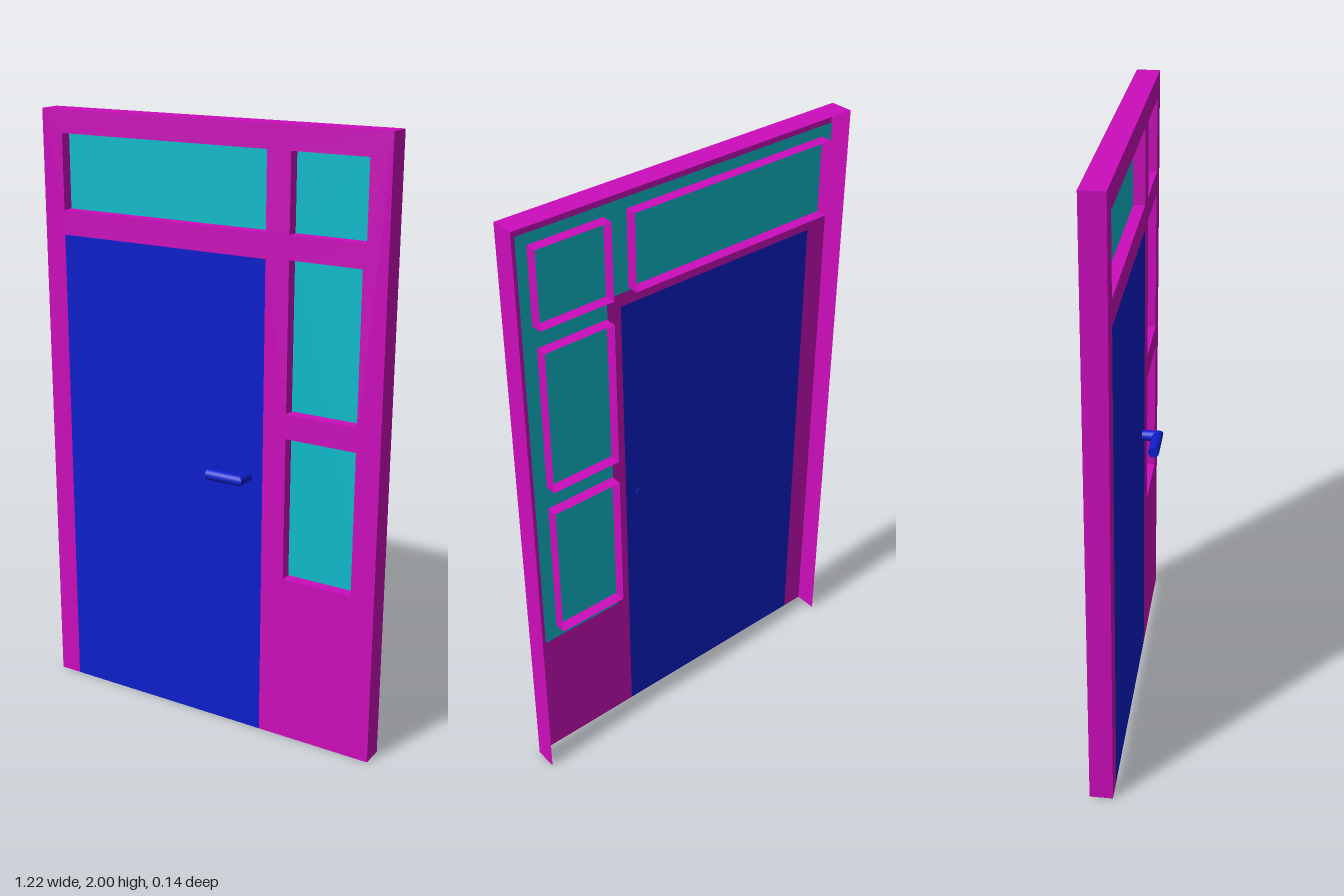
import * as THREE from 'three';

const paint = (color) => new THREE.MeshStandardMaterial({ color, side: THREE.DoubleSide });
const frameMat = paint(0xcc0dbb);
const doorMat = paint(0x0d1fcc);
const glassMat = paint(0x0dbccc);

const DEPTH = 0.075, W = 0.61, H = 2;
const DOOR = { x0: -0.535, x1: 0.21, y1: 1.6 };
// window openings: left, right, bottom, top
const WINDOWS = [
  [-0.535, 0.21, 1.68, 1.925],
  [0.29, 0.54, 1.68, 1.925],
  [0.29, 0.53, 1.125, 1.605],
  [0.29, 0.53, 0.57, 1.045],
];

const corners = ([x0, x1, y0, y1]) => [[x0, y0], [x1, y0], [x1, y1], [x0, y1]];
const toVectors = (pts) => pts.map(([x, y]) => new THREE.Vector2(x, y));

function add(parent, name, geometry, material) {
  const mesh = new THREE.Mesh(geometry, material);
  mesh.name = name;
  parent.add(mesh);
  return mesh;
}

// strip of flat panels running from z = 0 back to z = -depth along a polyline
function strip(pts, depth) {
  const pos = [];
  for (let i = 0; i < pts.length - 1; i++) {
    const [ax, ay] = pts[i], [bx, by] = pts[i + 1];
    pos.push(ax, ay, 0, bx, by, -depth, bx, by, 0);
    pos.push(ax, ay, 0, ax, ay, -depth, bx, by, -depth);
  }
  const g = new THREE.BufferGeometry();
  g.setAttribute('position', new THREE.Float32BufferAttribute(pos, 3));
  g.computeVertexNormals();
  return g;
}

// round bar along +y whose far end is cut at 45 degrees towards local +x
function mitredBar(radius, length) {
  const g = new THREE.CylinderGeometry(radius, radius, length, 24);
  g.translate(0, length / 2, 0);
  const p = g.attributes.position;
  for (let i = 0; i < p.count; i++) {
    if (p.getY(i) > length / 2) p.setY(i, length + p.getX(i));
  }
  return g;
}

export function createModel() {
  const model = new THREE.Group();
  model.name = 'doorWithSidelights';

  // front panel with door notch and window openings
  const panel = new THREE.Shape(toVectors([
    [-W, 0], [DOOR.x0, 0], [DOOR.x0, DOOR.y1], [DOOR.x1, DOOR.y1],
    [DOOR.x1, 0], [W, 0], [W, H], [-W, H],
  ]));
  for (const w of WINDOWS) panel.holes.push(new THREE.Path(toVectors(corners(w))));
  add(model, 'frontPanel', new THREE.ShapeGeometry(panel), frameMat);

  // outer casing: two sides and the top, open below and behind
  add(model, 'casing', strip([[W, 0], [W, H], [-W, H], [-W, 0]], DEPTH), frameMat);

  // window reveals
  for (const w of WINDOWS) {
    const c = corners(w);
    add(model, 'windowReveal', strip([...c, c[0]], DEPTH), frameMat);
  }

  // one L-shaped sheet of glass halfway through the depth
  const pane = new THREE.Shape(toVectors([
    [-0.573, 1.67], [0.287, 1.67], [0.287, 0.52], [0.575, 0.52], [0.575, 1.96], [-0.573, 1.96],
  ]));
  add(model, 'glass', new THREE.ShapeGeometry(pane), glassMat).position.z = -DEPTH / 2;

  // door leaf, flush with the panel
  const leaf = new THREE.PlaneGeometry(DOOR.x1 - DOOR.x0, DOOR.y1);
  add(model, 'doorLeaf', leaf, doorMat).position.set((DOOR.x0 + DOOR.x1) / 2, DOOR.y1 / 2, 0);

  // lever handle: stem out of the door, grip turned towards the hinges
  const handle = new THREE.Group();
  handle.name = 'handle';
  handle.position.set(0.154, 0.897, 0);
  const r = 0.018, reach = 0.05, grip = 0.115;
  const stem = mitredBar(r, reach + 0.002);
  stem.rotateX(Math.PI / 2).translate(0, 0, -0.002);
  add(handle, 'handleStem', stem, doorMat);
  const lever = mitredBar(r, grip);
  // local y -> +x, local x -> +z
  lever.applyMatrix4(new THREE.Matrix4().makeBasis(
    new THREE.Vector3(0, 0, 1), new THREE.Vector3(1, 0, 0), new THREE.Vector3(0, 1, 0)));
  lever.translate(-grip, 0, reach);
  add(handle, 'handleGrip', lever, doorMat);
  model.add(handle);

  return model;
}
